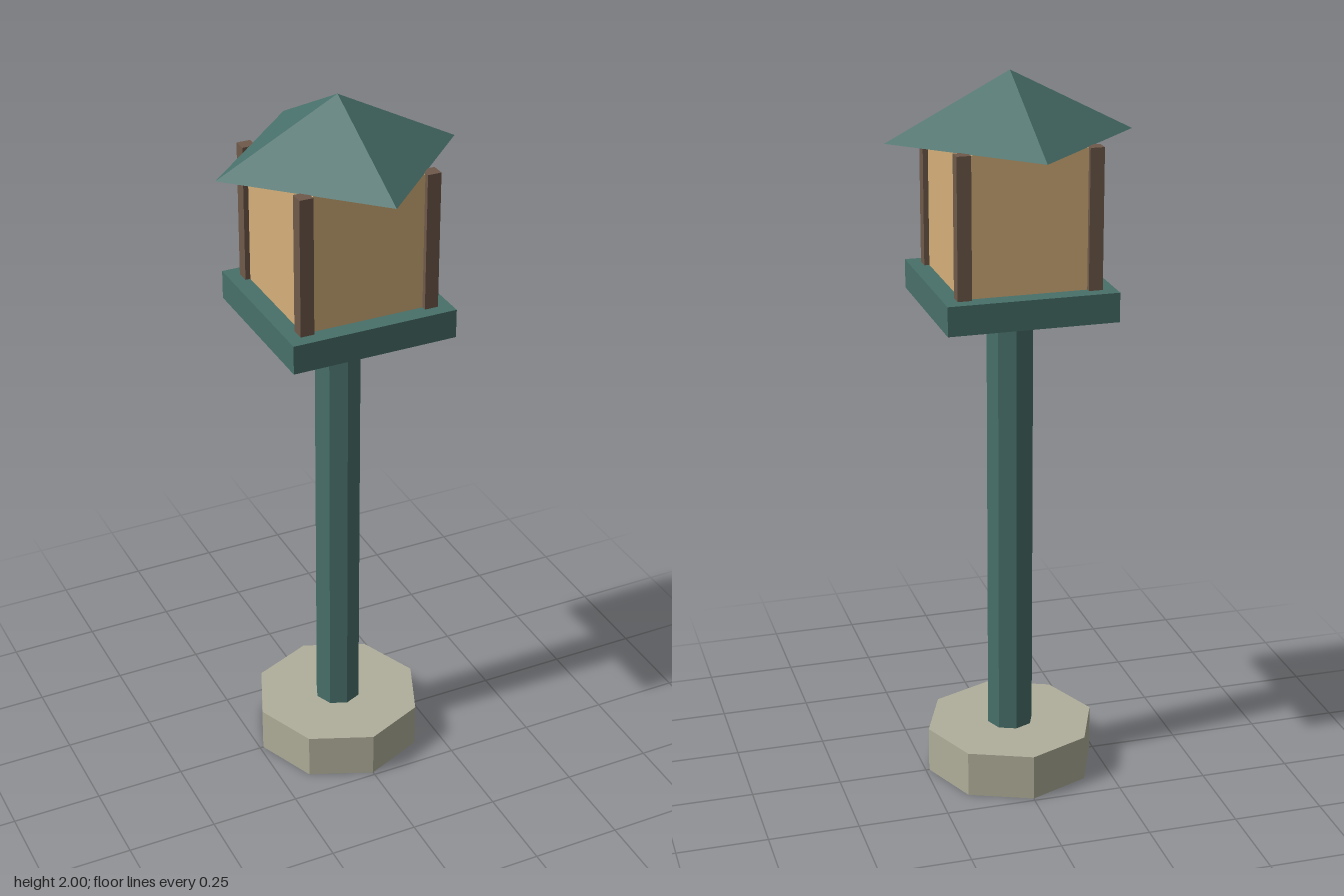
import * as THREE from 'three';

const paint = (color) => new THREE.MeshStandardMaterial({ color, flatShading: true });

export function createModel() {
  const model = new THREE.Group();
  const green = paint(0x48706a);
  const brown = paint(0x6f5a4b);
  const amber = paint(0xd6b07a);
  const stone = paint(0xb0ae9a);

  // Adds a part whose underside sits at height y
  function add(name, geometry, material, height, y, x = 0, z = 0) {
    const mesh = new THREE.Mesh(geometry, material);
    mesh.name = name;
    mesh.position.set(x, y + height / 2, z);
    model.add(mesh);
  }

  // Octagonal footing and pole
  add('base', new THREE.CylinderGeometry(0.24, 0.24, 0.13, 8), stone, 0.13, 0);
  add('pole', new THREE.CylinderGeometry(0.065, 0.065, 1.24, 8), green, 1.24, 0.13);

  // Tray carrying the lantern
  add('tray', new THREE.BoxGeometry(0.462, 0.08, 0.462), green, 0.08, 1.37);

  // Glowing panes as one solid core
  add('lanternGlass', new THREE.BoxGeometry(0.362, 0.375, 0.362), amber, 0.375, 1.45);

  // Corner posts
  for (const x of [-1, 1]) {
    for (const z of [-1, 1]) {
      const name = `${z > 0 ? 'front' : 'back'}${x > 0 ? 'Left' : 'Right'}Post`;
      add(name, new THREE.BoxGeometry(0.038, 0.378, 0.038), brown, 0.378, 1.45, x * 0.176, z * 0.176);
    }
  }

  // Four-sided roof, its corners over the middles of the sides
  add('roof', new THREE.ConeGeometry(0.335, 0.173, 4), green, 0.173, 1.827);

  return model;
}
